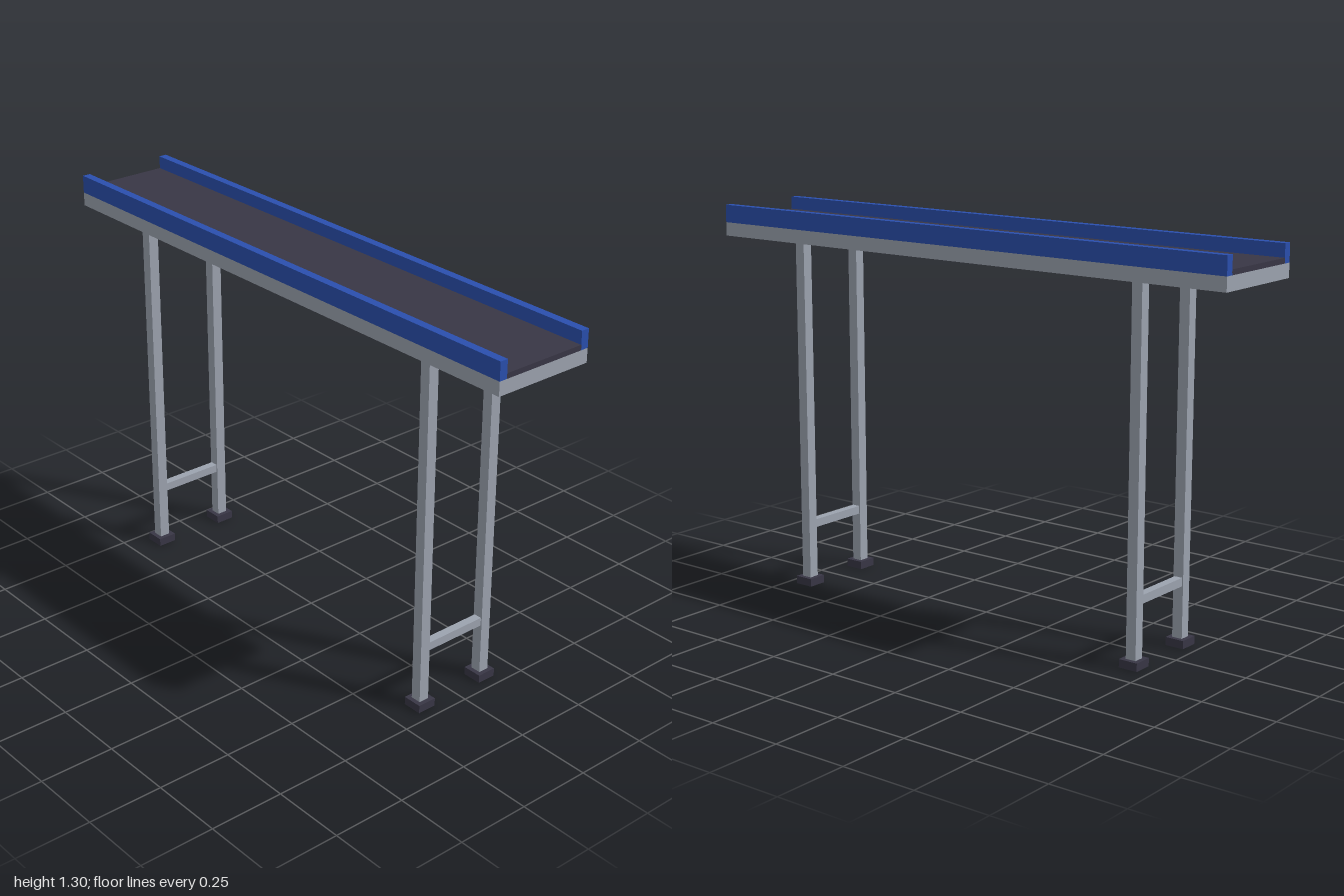
import * as THREE from 'three';

const material = (name, color) => {
  const m = new THREE.MeshStandardMaterial({ color });
  m.name = name;
  return m;
};

export function createModel() {
  const group = new THREE.Group();
  const steel = material('steel grey', 0x9ca3af);
  const blue = material('rail blue', 0x2a4fae);
  const dark = material('rubber dark', 0x374151);
  dark.color.set(0x383645);

  // Box spanning y0..y1, centred on x and z
  const box = (name, mat, w, d, y0, y1, x = 0, z = 0) => {
    const mesh = new THREE.Mesh(new THREE.BoxGeometry(w, y1 - y0, d), mat);
    mesh.name = name;
    mesh.position.set(x, (y0 + y1) / 2, z);
    group.add(mesh);
  };

  // Conveyor bed and belt
  box('bed', steel, 0.35, 2, 1.197, 1.243);
  box('belt', dark, 0.296, 2, 1.243, 1.26);

  // Side guide rails
  for (const s of [-1, 1]) box('guideRail', blue, 0.028, 2, 1.243, 1.303, s * 0.161);

  // Leg frames with feet and a low cross brace
  for (const z of [-0.68, 0.68]) {
    for (const s of [-1, 1]) {
      box('leg', steel, 0.036, 0.036, 0.01, 1.197, s * 0.13, z);
      box('foot', dark, 0.066, 0.066, 0, 0.027, s * 0.13, z);
    }
    box('crossBrace', steel, 0.224, 0.028, 0.2, 0.228, 0, z);
  }
  return group;
}
